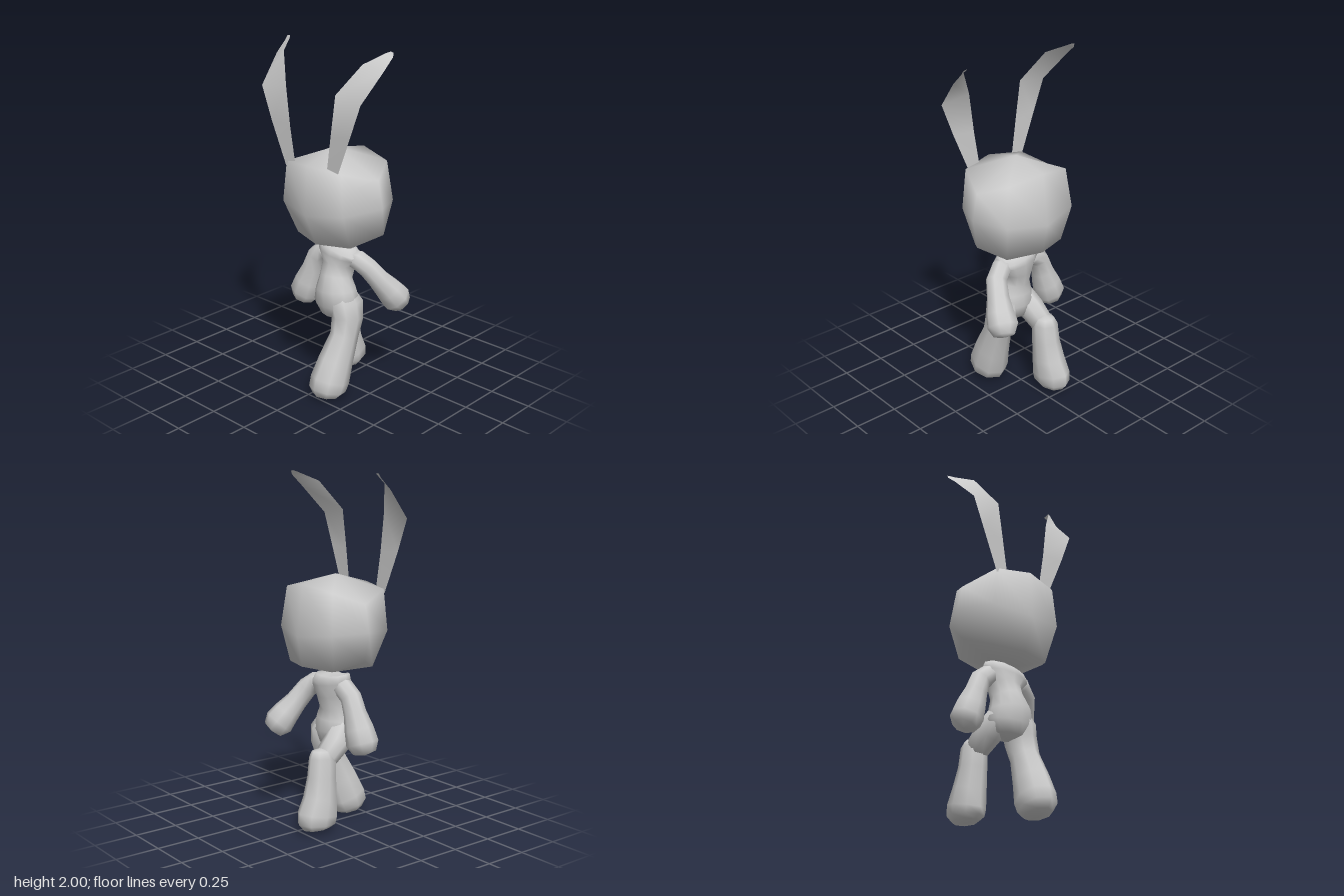
import * as THREE from 'three';

const V = (x, y, z) => new THREE.Vector3(x, y, z);
const material = new THREE.MeshStandardMaterial({ color: 0xcccccc, side: THREE.DoubleSide });

// Smooth skin over equal-sized rings, closed at both ends by a pole point
function loft(name, rings, start, end) {
  const n = rings[0].length, last = (rings.length - 1) * n;
  const points = [...rings.flat(), start, end];
  const s = points.length - 2, e = s + 1, index = [];
  for (let j = 0; j < n; j++) {
    const k = (j + 1) % n;
    index.push(s, k, j, e, last + j, last + k);
    for (let i = 0; i < rings.length - 1; i++) {
      const a = i * n + j, b = i * n + k;
      index.push(a, b, a + n, b, b + n, a + n);
    }
  }
  const geometry = new THREE.BufferGeometry().setFromPoints(points);
  geometry.setIndex(index);
  geometry.computeVertexNormals();
  const mesh = new THREE.Mesh(geometry, material);
  mesh.name = name;
  return mesh;
}

// Limb along a path of [x, y, z, sideRadius, depthRadius]; first and last entries are the poles
function limb(name, path, sides = 8) {
  const p = path.map(([x, y, z]) => V(x, y, z));
  const rings = [];
  for (let i = 1; i < p.length - 1; i++) {
    const t = p[i + 1].clone().sub(p[i - 1]).normalize();
    // side axis stays close to x so that radii keep their meaning
    const side = V(1, 0, 0).addScaledVector(t, -t.x).normalize();
    const depth = t.clone().cross(side);
    const [, , , rs, rd = rs] = path[i];
    rings.push(Array.from({ length: sides }, (_, j) => {
      const a = (j / sides) * Math.PI * 2;
      return p[i].clone().addScaledVector(side, rs * Math.cos(a)).addScaledVector(depth, rd * Math.sin(a));
    }));
  }
  return loft(name, rings, p[0], p[p.length - 1]);
}

// Rounded block head: three rings of eight points, front point first
function head() {
  const ring = (cx, front, diagFront, side, diagBack, back) => {
    const half = [diagFront, side, diagBack];
    const at = (s) => half.map(([x, y, z]) => V(cx + s * x, y, z));
    return [V(cx, ...front), ...at(1), V(cx, ...back), ...at(-1).reverse()];
  };
  return loft('head', [
    ring(0.02, [0.92, 0.2], [0.2, 0.93, 0.14], [0.29, 0.985, 0.01], [0.2, 0.935, -0.135], [0.94, -0.2]),
    ring(0.015, [1.1, 0.275], [0.225, 1.13, 0.222], [0.32, 1.15, 0.01], [0.235, 1.14, -0.175], [1.11, -0.233]),
    ring(0.016, [1.38, 0.26], [0.203, 1.36, 0.212], [0.288, 1.3, 0.01], [0.208, 1.365, -0.15], [1.4, -0.195]),
  ], V(0.02, 0.88, 0.01), V(0.01, 1.442, 0.03));
}

// Thin ear blade, upright and then bending backwards; s mirrors it
function ear(name, s) {
  // inner x, y, z, outer x, y, z from the tip down
  const rows = [
    [0.365, 2, 0, 0.384, 1.995, 0],
    [0.345, 1.99, 0.02, 0.389, 1.975, 0.01],
    [0.285, 1.94, 0.125, 0.388, 1.91, 0.08],
    [0.18, 1.78, 0.215, 0.36, 1.755, 0.222],
    [0.15, 1.56, 0.218, 0.288, 1.57, 0.222],
    [0.12, 1.37, 0.215, 0.19, 1.335, 0.215],
  ];
  const geometry = new THREE.PlaneGeometry(1, 1, 1, rows.length - 1);
  rows.forEach(([ix, iy, iz, ox, oy, oz], i) => {
    const pair = [[s * ix, iy, iz], [s * ox, oy, oz]];
    if (s < 0) pair.reverse();
    pair.forEach((q, j) => geometry.attributes.position.setXYZ(i * 2 + j, ...q));
  });
  geometry.computeVertexNormals();
  const mesh = new THREE.Mesh(geometry, material);
  mesh.name = name;
  return mesh;
}

export function createModel() {
  const model = new THREE.Group();
  model.name = 'rabbitFigure';
  model.add(head(), ear('leftEar', 1), ear('rightEar', -1));

  // Torso from crotch to neck
  model.add(limb('torso', [
    [0.03, 0.445, 0.04],
    [0.03, 0.47, 0.04, 0.1, 0.085],
    [0.033, 0.54, 0.045, 0.145, 0.11],
    [0.032, 0.62, 0.052, 0.122, 0.11],
    [0.022, 0.69, 0.04, 0.095, 0.09],
    [0.023, 0.76, 0.018, 0.1, 0.086],
    [0.028, 0.82, 0.014, 0.145, 0.09],
    [0.035, 0.855, 0.012, 0.145, 0.085],
    [0.04, 0.87, 0.01, 0.1, 0.06],
    [0.035, 0.878, 0.01],
  ], 12));

  // Arms, the left one swung back
  model.add(limb('leftArm', [
    [0.06, 0.815, 0.01],
    [0.1, 0.812, 0.01, 0.056, 0.05],
    [0.15, 0.806, 0, 0.06, 0.058],
    [0.205, 0.765, -0.025, 0.06, 0.06],
    [0.24, 0.685, -0.08, 0.064, 0.064],
    [0.268, 0.62, -0.13, 0.08, 0.077],
    [0.285, 0.565, -0.172, 0.09, 0.087],
    [0.302, 0.525, -0.205, 0.062, 0.06],
    [0.306, 0.515, -0.212],
  ]));
  model.add(limb('rightArm', [
    [0, 0.815, 0.01],
    [-0.04, 0.812, 0.01, 0.056, 0.05],
    [-0.09, 0.806, 0.012, 0.06, 0.058],
    [-0.145, 0.765, 0.015, 0.06, 0.06],
    [-0.178, 0.68, 0.018, 0.066, 0.064],
    [-0.212, 0.595, 0.02, 0.084, 0.082],
    [-0.238, 0.52, 0.022, 0.094, 0.09],
    [-0.255, 0.47, 0.025, 0.066, 0.064],
    [-0.258, 0.455, 0.025],
  ]));

  // Left leg striding forward
  model.add(limb('leftLeg', [
    [0.06, 0.67, 0.05],
    [0.075, 0.62, 0.05, 0.055, 0.075],
    [0.105, 0.54, 0.043, 0.08, 0.108],
    [0.115, 0.46, 0.045, 0.08, 0.1],
    [0.118, 0.36, 0.075, 0.075, 0.088],
    [0.108, 0.22, 0.135, 0.093, 0.107],
    [0.1, 0.11, 0.175, 0.104, 0.122],
    [0.097, 0.055, 0.195, 0.1, 0.114],
    [0.097, 0.02, 0.202, 0.072, 0.08],
    [0.097, 0.006, 0.205],
  ]));

  // Right leg behind: thigh reaching back to a bent knee, then the shin
  model.add(limb('rightThigh', [
    [-0.02, 0.6, 0.06],
    [-0.035, 0.565, 0.045, 0.07, 0.075],
    [-0.058, 0.49, -0.02, 0.074, 0.08],
    [-0.068, 0.425, -0.1, 0.066, 0.07],
    [-0.07, 0.41, -0.13],
  ]));
  model.add(limb('rightShin', [
    [-0.068, 0.485, -0.125],
    [-0.068, 0.468, -0.13, 0.05, 0.058],
    [-0.07, 0.43, -0.127, 0.07, 0.08],
    [-0.073, 0.32, -0.135, 0.075, 0.086],
    [-0.08, 0.2, -0.152, 0.087, 0.102],
    [-0.083, 0.11, -0.173, 0.092, 0.126],
    [-0.083, 0.06, -0.18, 0.088, 0.12],
    [-0.084, 0.03, -0.18, 0.062, 0.085],
    [-0.085, 0.02, -0.18],
  ]));
  return model;
}
